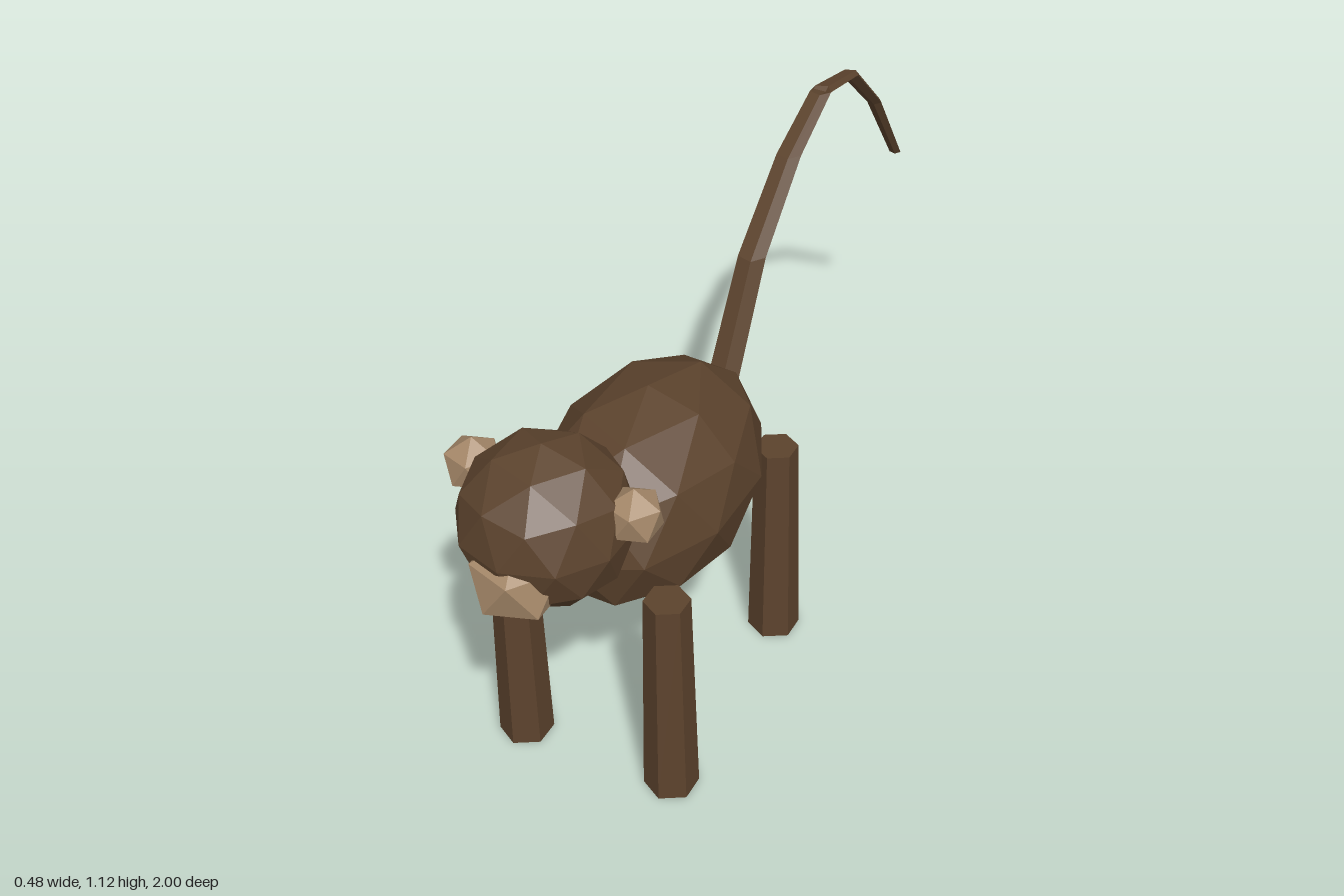
import * as THREE from 'three';

const fur = new THREE.MeshStandardMaterial({ color: 0x5c432d, side: THREE.DoubleSide });
fur.name = 'brown fur';
const skin = new THREE.MeshStandardMaterial({ color: 0xa58869 });
skin.name = 'tan skin';

// Splits the faces so that each one gets its own flat normal
function faceted(geometry) {
  const g = geometry.index ? geometry.toNonIndexed() : geometry;
  g.computeVertexNormals();
  return g;
}

// Icosphere with a corner at the top, stretched to the given radii
function ball(name, material, detail, [rx, ry, rz], [x, y, z]) {
  const g = new THREE.IcosahedronGeometry(1, detail);
  g.rotateZ(-Math.atan2(2, 1 + Math.sqrt(5)));
  g.scale(rx, ry, rz);
  const mesh = new THREE.Mesh(faceted(g), material);
  mesh.name = name;
  mesh.position.set(x, y, z);
  return mesh;
}

// Six-sided leg, slightly wider at the foot
function leg(name, x, z) {
  const height = 0.535;
  const mesh = new THREE.Mesh(faceted(new THREE.CylinderGeometry(0.05, 0.061, height, 6)), fur);
  mesh.name = name;
  mesh.position.set(x, height / 2, z);
  return mesh;
}

// Five-sided tail: level rings that shrink along an arched path of [y, z] points
function tail() {
  const path = [
    [0.635, 0.024], [0.875, -0.12], [1.04, -0.31], [1.12, -0.48],
    [1.085, -0.65], [0.93, -0.82], [0.705, -0.985],
  ];
  const steps = path.length - 1;
  const g = new THREE.CylinderGeometry(1, 1, 1, 5, steps, false, Math.PI / 2);
  const p = g.attributes.position;
  for (let i = 0; i < p.count; i++) {
    const ring = Math.round((p.getY(i) + 0.5) * steps);
    const r = THREE.MathUtils.lerp(0.037, 0.015, ring / steps);
    const [y, z] = path[ring];
    p.setXYZ(i, p.getX(i) * r, y, z + p.getZ(i) * r);
  }
  const mesh = new THREE.Mesh(faceted(g), fur);
  mesh.name = 'tail';
  return mesh;
}

export function createModel() {
  const model = new THREE.Group();
  model.name = 'animal';

  // Body, head and muzzle
  model.add(
    ball('body', fur, 1, [0.226, 0.243, 0.34], [0, 0.593, 0.38]),
    ball('head', fur, 1, [0.182, 0.182, 0.182], [0, 0.793, 0.8]),
    ball('muzzle', skin, 0, [0.103, 0.093, 0.105], [0, 0.733, 0.911]),
    tail(),
  );

  // Ears and legs on both sides
  for (const [side, s] of [['left', 1], ['right', -1]]) {
    model.add(
      ball(`${side}Ear`, skin, 0, [0.063, 0.063, 0.063], [s * 0.181, 0.845, 0.77]),
      leg(`${side}FrontLeg`, s * 0.185, 0.658),
      leg(`${side}BackLeg`, s * 0.168, 0.097),
    );
  }
  return model;
}
